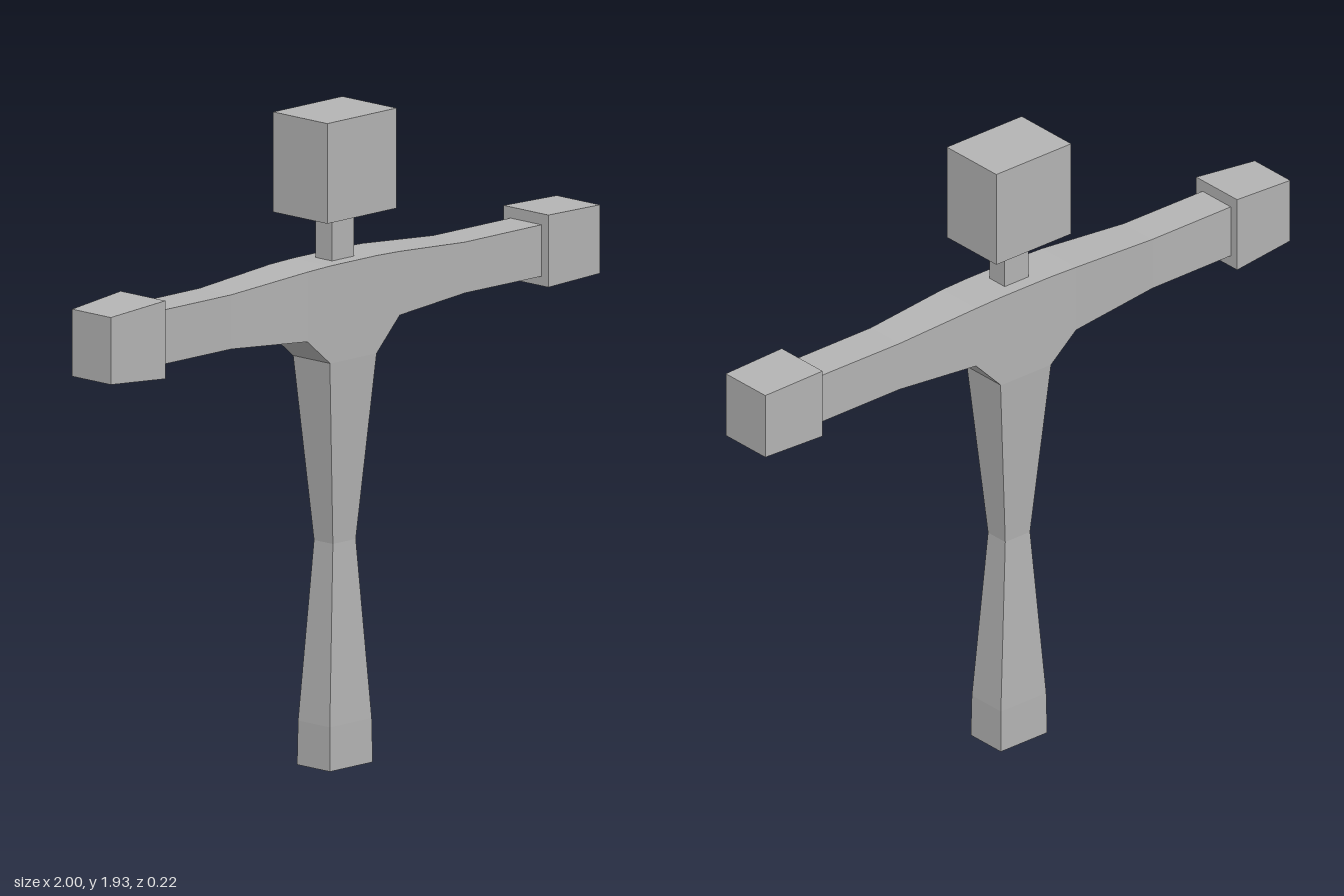
import * as THREE from 'three';

const corners = [[-1, -1], [1, -1], [1, 1], [-1, 1]];

// Four-sided section across the x axis
const acrossX = ([x, bottom, top, z]) =>
  corners.map(([v, w]) => [x, v < 0 ? bottom : top, w * z]);

// Four-sided section across the y axis
const acrossY = ([y, x, z]) => corners.map(([w, v]) => [v * x, y, w * z]);

// Closed, flat-sided skin over a row of four-sided sections
function loft(sections) {
  const index = [];
  const quad = (a, b, c, d) => index.push(a, b, c, a, c, d);
  const last = (sections.length - 1) * 4;
  for (let s = 0; s < last; s += 4) {
    for (let j = 0; j < 4; j++) {
      const k = (j + 1) % 4;
      quad(s + j, s + k, s + 4 + k, s + 4 + j);
    }
  }
  quad(3, 2, 1, 0);
  quad(last, last + 1, last + 2, last + 3);
  const indexed = new THREE.BufferGeometry();
  indexed.setAttribute('position', new THREE.Float32BufferAttribute(sections.flat(2), 3));
  indexed.setIndex(index);
  const geometry = indexed.toNonIndexed();
  geometry.computeVertexNormals();
  return geometry;
}

export function createModel() {
  const model = new THREE.Group();
  model.name = 'figure';
  const grey = new THREE.MeshStandardMaterial({ color: 0xb4b4b4, flatShading: true });
  grey.name = 'grey';

  const add = (name, geometry, y = 0) => {
    const mesh = new THREE.Mesh(geometry, grey);
    mesh.name = name;
    mesh.position.y = y;
    model.add(mesh);
  };

  // Head and neck
  add('head', new THREE.BoxGeometry(0.284, 0.295, 0.218), 1.778);
  add('neck', new THREE.BoxGeometry(0.09, 0.16, 0.066), 1.56);

  // Shoulders and both arms: x, bottom, top, half depth
  add('shouldersAndArms', loft([
    [-0.8, 1.31, 1.47, 0.062],
    [-0.49, 1.31, 1.47, 0.063],
    [-0.19, 1.285, 1.49, 0.075],
    [-0.095, 1.205, 1.493, 0.075],
    [0.095, 1.205, 1.493, 0.075],
    [0.19, 1.302, 1.49, 0.075],
    [0.47, 1.32, 1.47, 0.063],
    [0.8, 1.318, 1.47, 0.062],
  ].map(acrossX)));

  // Body tapering to a waist and widening to the foot: y, half width, half depth
  add('body', loft([
    [0, 0.088, 0.066],
    [0.13, 0.086, 0.064],
    [0.66, 0.047, 0.038],
    [1.206, 0.096, 0.074],
  ].map(acrossY)));

  // Blocky hands
  add('leftHand', loft([[0.785, 1.29, 1.503, 0.09], [1, 1.296, 1.498, 0.087]].map(acrossX)));
  add('rightHand', loft([[-1, 1.29, 1.488, 0.078], [-0.788, 1.275, 1.505, 0.09]].map(acrossX)));

  return model;
}
